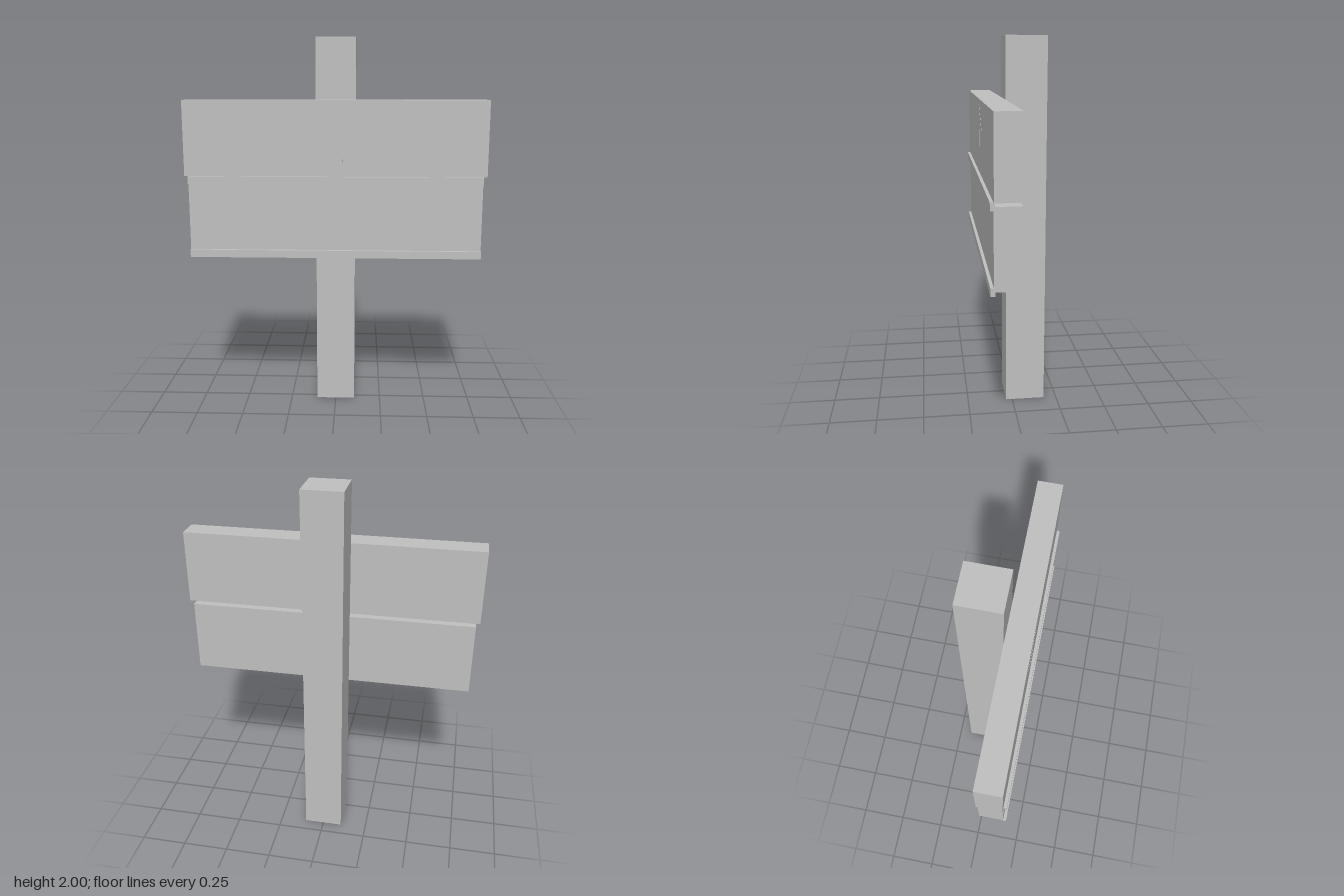
import * as THREE from 'three';

export function createModel() {
  const model = new THREE.Group();
  model.name = 'signpost';
  const grey = new THREE.MeshStandardMaterial({ color: 0xc0c0c0 });
  grey.name = 'plain grey';

  // Box given by its half width and its y and z limits
  const addBox = (name, halfWidth, y0, y1, z0, z1) => {
    const mesh = new THREE.Mesh(new THREE.BoxGeometry(halfWidth * 2, y1 - y0, z1 - z0), grey);
    mesh.position.set(0, (y0 + y1) / 2, (z0 + z1) / 2);
    mesh.name = name;
    model.add(mesh);
  };

  addBox('post', 0.105, 0, 2, -0.18, 0.035);
  addBox('upperBoard', 0.785, 1.29, 1.68, 0.035, 0.164);
  addBox('lowerBoard', 0.765, 0.88, 1.27, 0.035, 0.164);

  // Ledge strips along the top and bottom of the lower board
  addBox('upperLedge', 0.765, 1.25, 1.29, 0.158, 0.18);
  addBox('lowerLedge', 0.765, 0.86, 0.9, 0.158, 0.18);

  // Thin upward arrow on the upper board
  const outline = [
    [0, 1.652], [-0.157, 1.525], [-0.041, 1.525], [-0.041, 1.343],
    [0.041, 1.343], [0.041, 1.525], [0.157, 1.525],
  ].map(([x, y]) => new THREE.Vector2(x, y));
  const arrow = new THREE.Mesh(
    new THREE.ExtrudeGeometry(new THREE.Shape(outline), { depth: 0.003, bevelEnabled: false }),
    grey
  );
  arrow.position.z = 0.162;
  arrow.name = 'arrow';
  model.add(arrow);

  return model;
}
